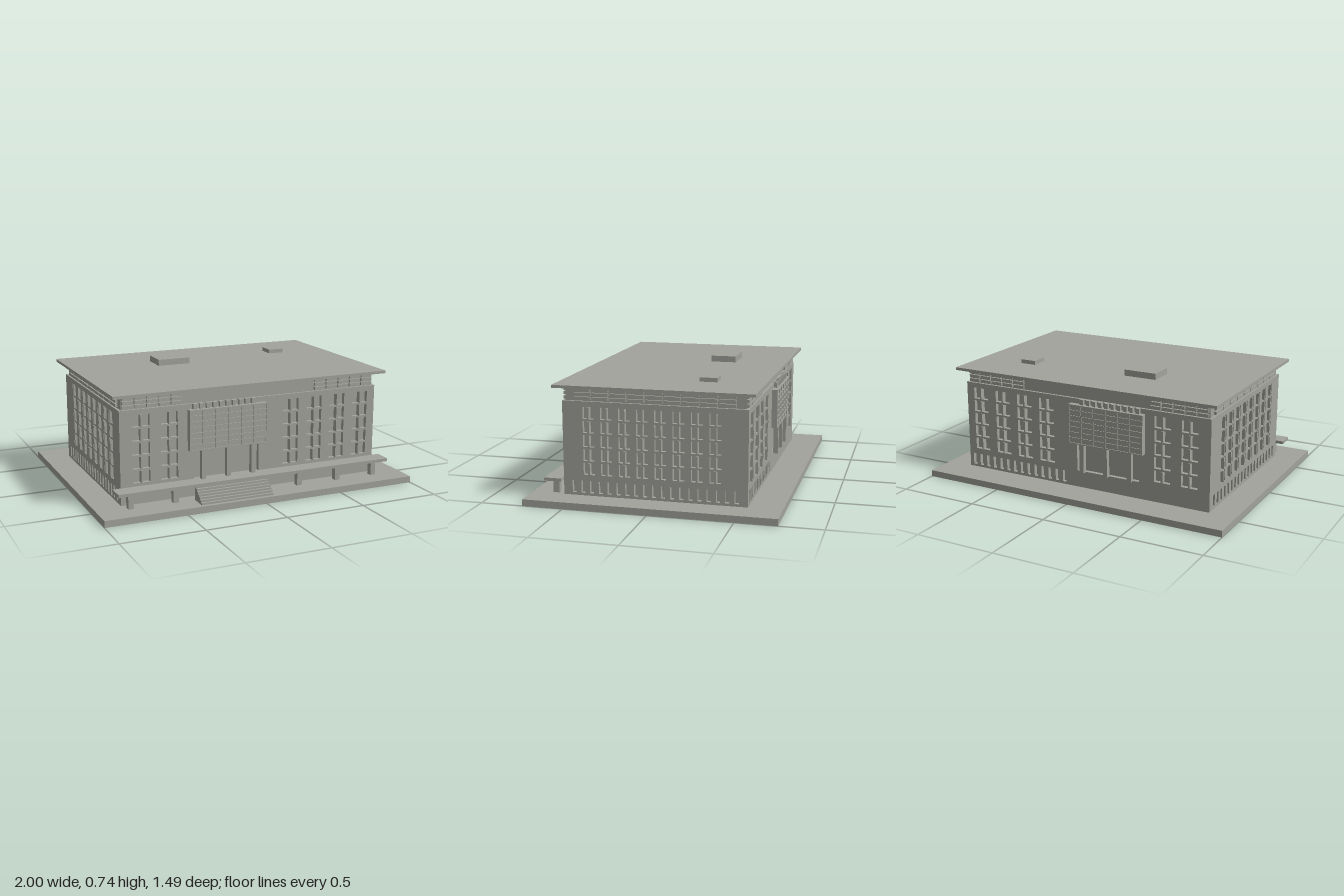
import * as THREE from 'three';

export function createModel() {
  const model = new THREE.Group();
  model.name = 'officeBuilding';
  const stone = new THREE.MeshStandardMaterial({ color: 0xa3a39c });
  stone.name = 'stone';

  const W = 0.837, D = 0.547, T = 0.025; // half width, half depth, wall thickness
  const Y0 = 0.04, Y1 = 0.6, ROOF = 0.68;

  // box given by its min and max corners
  function box(parent, name, x0, x1, y0, y1, z0, z1) {
    const m = new THREE.Mesh(new THREE.BoxGeometry(x1 - x0, y1 - y0, z1 - z0), stone);
    m.position.set((x0 + x1) / 2, (y0 + y1) / 2, (z0 + z1) / 2);
    m.name = name;
    parent.add(m);
  }

  function rectPath(P, x0, x1, y0, y1) {
    const p = new P();
    p.moveTo(x0, y0);
    p.lineTo(x1, y0);
    p.lineTo(x1, y1);
    p.lineTo(x0, y1);
    p.closePath();
    return p;
  }

  // pierced wall whose outer face is local z = 0
  function wall(parent, name, half, holes) {
    const shape = rectPath(THREE.Shape, -half, half, Y0, Y1);
    holes.forEach(h => shape.holes.push(rectPath(THREE.Path, ...h)));
    const geo = new THREE.ExtrudeGeometry(shape, { depth: T, bevelEnabled: false });
    const m = new THREE.Mesh(geo, stone);
    m.position.z = -T;
    m.name = name;
    parent.add(m);
  }

  // five storeys of paired windows around each centre
  function pairedWindows(centres, w, gap) {
    const holes = [];
    for (const c of centres) for (let r = 0; r < 5; r++) {
      const y = 0.165 + r * 0.083;
      holes.push([c - gap / 2 - w, c - gap / 2, y, y + 0.071]);
      holes.push([c + gap / 2, c + gap / 2 + w, y, y + 0.071]);
    }
    return holes;
  }

  function mullions(parent, centres, w) {
    for (const c of centres) for (let r = 0; r < 5; r++) {
      const y = 0.165 + r * 0.083;
      box(parent, 'mullion', c - w / 2, c + w / 2, y, y + 0.071, -T, 0.007);
    }
  }

  // three rows of louvre blocks under the roof
  function louvres(parent, x0, x1, count) {
    const pitch = (x1 - x0) / count;
    for (let i = 0; i < count; i++) for (let r = 0; r < 3; r++) {
      const x = x0 + i * pitch, y = 0.607 + r * 0.025;
      box(parent, 'louvre', x + 0.004, x + pitch - 0.004, y, y + 0.018, -T, -0.002);
    }
  }

  // plinth, inner core, frieze and roof
  box(model, 'plinth', -1, 1, 0, Y0, -0.745, 0.745);
  box(model, 'core', -W + T, W - T, Y0, Y1, -D + T, D - T);
  box(model, 'frieze', -W + 0.016, W - 0.016, Y1 - 0.005, ROOF, -D + 0.016, D - 0.016);
  box(model, 'roofSlab', -0.886, 0.886, ROOF, 0.697, -0.592, 0.592);
  box(model, 'roofHouse', -0.35, -0.14, 0.697, 0.735, -0.27, -0.11);
  box(model, 'roofHatch', 0.48, 0.58, 0.697, 0.722, -0.31, -0.205);

  // front and back facades; s mirrors the plan so both share the same x positions
  for (const s of [1, -1]) {
    const g = new THREE.Group();
    g.name = s > 0 ? 'frontFacade' : 'backFacade';
    g.position.z = s * D;
    if (s < 0) g.rotation.y = Math.PI;
    const span = (a, b) => (s > 0 ? [a, b] : [-b, -a]);

    const centres = [-0.708, -0.535, 0.25, 0.41, 0.57, 0.733].map(x => x * s);
    const holes = pairedWindows(centres, 0.047, 0.01);
    holes.push([...span(-0.385, 0.037), 0.145, 0.33]);
    if (s < 0) {
      for (let i = 0; i < 14; i++) {
        const c = -(0.13 + i * 0.0515);
        holes.push([c - 0.012, c + 0.012, 0.055, 0.128]);
      }
    }
    wall(g, 'facadeWall', W, holes);
    mullions(g, centres, 0.01);
    louvres(g, ...span(-0.82, -0.45), 5);
    louvres(g, ...span(0.41, 0.82), 5);

    // projecting bay with a shallow grid
    const [bx0, bx1] = span(-0.422, 0.075);
    box(g, 'bay', bx0, bx1, 0.325, 0.57, -T, 0.03);
    for (let i = 0; i <= 7; i++) {
      const y = 0.325 + i * (0.245 - 0.006) / 7;
      box(g, 'bayRail', bx0, bx1, y, y + 0.006, 0.03, 0.036);
    }
    for (let i = 0; i <= 6; i++) {
      const x = bx0 + i * (bx1 - bx0 - 0.006) / 6;
      box(g, 'bayBar', x, x + 0.006, 0.325, 0.57, 0.03, 0.0355);
    }
    // fins over the bay
    for (let i = 0; i < 10; i++) {
      const [x0, x1] = span(-0.393 + i * 0.0415, -0.371 + i * 0.0415);
      box(g, 'bayFin', x0, x1, 0.57, 0.602, -0.01, 0.02);
    }
    // entrance pillars
    for (const x of [-0.333, -0.172, -0.012]) {
      const [x0, x1] = span(x - 0.0135, x + 0.0135);
      box(g, 'entrancePillar', x0, x1, 0.145, 0.325, 0.002, 0.032);
    }
    model.add(g);
  }

  // side facades
  for (const s of [1, -1]) {
    const g = new THREE.Group();
    g.name = s > 0 ? 'leftFacade' : 'rightFacade';
    g.position.x = s * W;
    g.rotation.y = s * Math.PI / 2;
    const centres = [];
    for (let i = 0; i < 8; i++) centres.push(-s * (0.39 - i * 0.107));
    const holes = pairedWindows(centres, 0.028, 0.012);
    for (let i = 0; i < 19; i++) {
      const c = (i - 9) * 0.0536;
      holes.push([c - 0.012, c + 0.012, 0.055, 0.128]);
    }
    wall(g, 'sideWall', D - T, holes);
    mullions(g, centres, 0.012);
    louvres(g, -0.48, 0.48, 9);
    model.add(g);
  }

  // front terrace with posts
  box(model, 'terrace', -0.886, 0.886, 0.127, 0.146, D, 0.652);
  for (const x of [-0.802, -0.527, 0.28, 0.545, 0.802])
    box(model, 'terracePost', x - 0.016, x + 0.016, Y0, 0.127, 0.585, 0.622);

  // entrance steps
  for (let i = 0; i < 7; i++)
    box(model, 'step', -0.408, 0.053, Y0, 0.052 + i * 0.0125, 0.622, 0.72 - i * 0.0145);

  return model;
}
